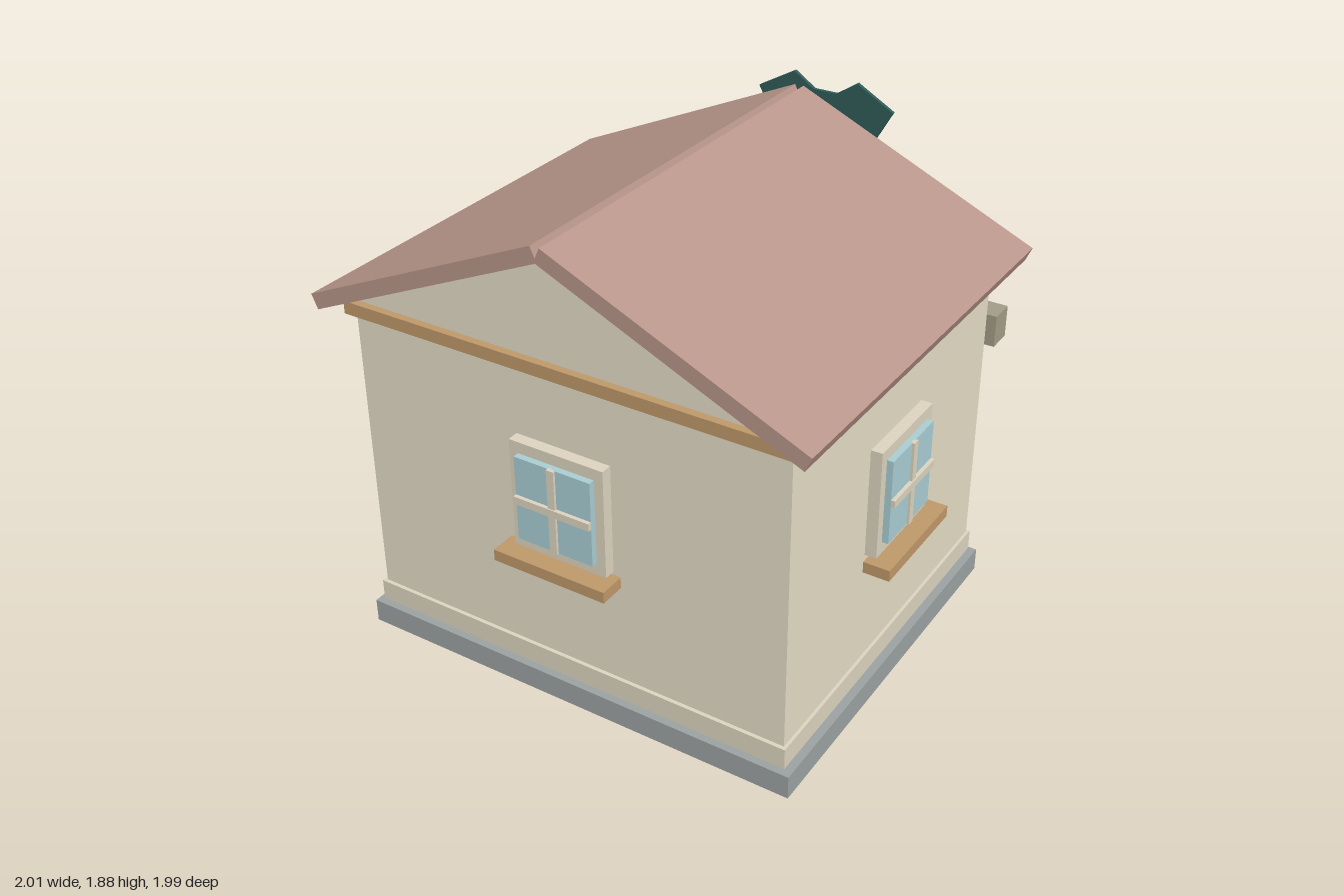
import * as THREE from 'three';

const mat = (color) => new THREE.MeshStandardMaterial({ color });
const M = {
  wall: mat(0xe4dcc6), trim: mat(0xdcd4bf), stone: mat(0x9ba1a2), roof: mat(0xb8968a),
  wood: mat(0xbf986a), door: mat(0xa07d50), glass: mat(0xa9cdd3), cream: mat(0xdedac8),
  orange: mat(0xd09a7e), beam: mat(0xa39b86), teal: mat(0x2f5c58), blue: mat(0x6484ac),
};

// Box given by its min and max on each axis
function box(name, material, x0, x1, y0, y1, z0, z1) {
  const mesh = new THREE.Mesh(new THREE.BoxGeometry(x1 - x0, y1 - y0, z1 - z0), material);
  mesh.position.set((x0 + x1) / 2, (y0 + y1) / 2, (z0 + z1) / 2);
  mesh.name = name;
  return mesh;
}

// Symmetric plate from the right half of its outline, extruded along z
function plate(name, material, half, depth, scale = 1) {
  const pts = [...half, ...half.map(([x, y]) => [-x, y]).reverse()];
  const shape = new THREE.Shape(pts.map(([x, y]) => new THREE.Vector2(x * scale, y * scale)));
  const geo = new THREE.ExtrudeGeometry(shape, { depth, bevelEnabled: false });
  const mesh = new THREE.Mesh(geo, material);
  mesh.name = name;
  return mesh;
}

// Window whose back lies on z = 0 and which faces +z
function makeWindow(name) {
  const g = new THREE.Group();
  g.name = name;
  g.add(
    box('windowFrame', M.trim, -0.195, 0.195, 0.655, 1.09, -0.01, 0.045),
    box('windowGlass', M.glass, -0.158, 0.158, 0.705, 1.045, 0.03, 0.07),
    box('verticalBar', M.trim, -0.015, 0.015, 0.705, 1.045, 0.06, 0.08),
    box('horizontalBar', M.trim, -0.158, 0.158, 0.86, 0.89, 0.06, 0.085),
    box('windowSill', M.wood, -0.235, 0.235, 0.61, 0.655, 0.015, 0.118),
  );
  return g;
}

export function createModel() {
  const house = new THREE.Group();
  house.name = 'house';

  // Plinth, skirting, walls and cornice
  house.add(
    box('plinth', M.stone, -0.925, 0.925, 0, 0.095, -0.64, 0.915),
    box('skirting', M.trim, -0.897, 0.897, 0.105, 0.19, -0.62, 0.895),
    box('walls', M.wall, -0.885, 0.885, 0.09, 1.37, -0.61, 0.88),
    box('cornice', M.wood, -0.915, 0.915, 1.365, 1.415, -0.64, 0.91),
  );

  // Gable block under the roof
  const gable = plate('gable', M.wall, [[0.885, 1.41], [0.01, 1.81]], 1.49);
  gable.position.z = -0.61;
  house.add(gable);

  // Two roof slabs that leave a small notch along the ridge
  const top = new THREE.Vector2(0.018, 1.885), eave = new THREE.Vector2(1, 1.448);
  const run = eave.clone().sub(top), angle = Math.atan2(run.y, run.x), thick = 0.06;
  for (const side of [1, -1]) {
    const slab = new THREE.Mesh(new THREE.BoxGeometry(run.length(), thick, 1.685), M.roof);
    slab.name = side > 0 ? 'leftRoof' : 'rightRoof';
    slab.position.set(
      side * ((top.x + eave.x) / 2 + Math.sin(angle) * thick / 2),
      (top.y + eave.y) / 2 - Math.cos(angle) * thick / 2, 0.133);
    slab.rotation.z = side * angle;
    house.add(slab);
  }

  // Windows: name, x, z, turn
  for (const [name, x, z, turn] of [
    ['frontWindow', 0, 0.88, 0],
    ['leftWindow', 0.885, 0.137, Math.PI / 2],
    ['rightWindow', -0.885, 0.137, -Math.PI / 2],
    ['backWindow', -0.52, -0.61, Math.PI],
  ]) {
    const w = makeWindow(name);
    w.position.set(x, 0, z);
    w.rotation.y = turn;
    house.add(w);
  }

  // Back door with its surround and knob
  const knob = new THREE.Mesh(new THREE.SphereGeometry(0.018, 16, 12), M.wood);
  knob.name = 'doorKnob';
  knob.position.set(0.15, 0.505, -0.7);
  house.add(
    box('doorFrameLeft', M.trim, 0.24, 0.29, 0.09, 1.0, -0.655, -0.6),
    box('doorFrameRight', M.trim, -0.29, -0.24, 0.09, 1.0, -0.655, -0.6),
    box('doorFrameTop', M.trim, -0.24, 0.24, 0.94, 1.0, -0.655, -0.6),
    box('door', M.door, -0.24, 0.24, 0.095, 0.94, -0.687, -0.6),
    knob,
  );

  // Striped awning and the beam in front of it
  const stripe = 1.59 / 6;
  for (let i = 0; i < 6; i++) {
    const x = -0.795 + i * stripe;
    house.add(box('awningStripe', i % 2 ? M.cream : M.orange, x, x + stripe, 1.165, 1.232, -0.91, -0.6));
  }
  house.add(box('signBeam', M.beam, -0.82, 0.82, 0.895, 1.03, -0.995, -0.885));

  // Shirt sign, and a small one on a board in the back gable
  const shirt = [[0.15, -0.23], [0.15, 0.01], [0.21, -0.02], [0.3, 0.14], [0.14, 0.23], [0.05, 0.17]];
  const sign = plate('shirtSign', M.teal, shirt, 0.016);
  sign.position.set(0, 1.62, -0.938);
  const emblem = plate('smallShirt', M.blue, shirt, 0.03, 0.39);
  emblem.position.set(0, 1.578, -0.745);
  house.add(sign, emblem, box('gableBoard', M.cream, -0.185, 0.185, 1.43, 1.74, -0.718, -0.6));

  return house;
}
